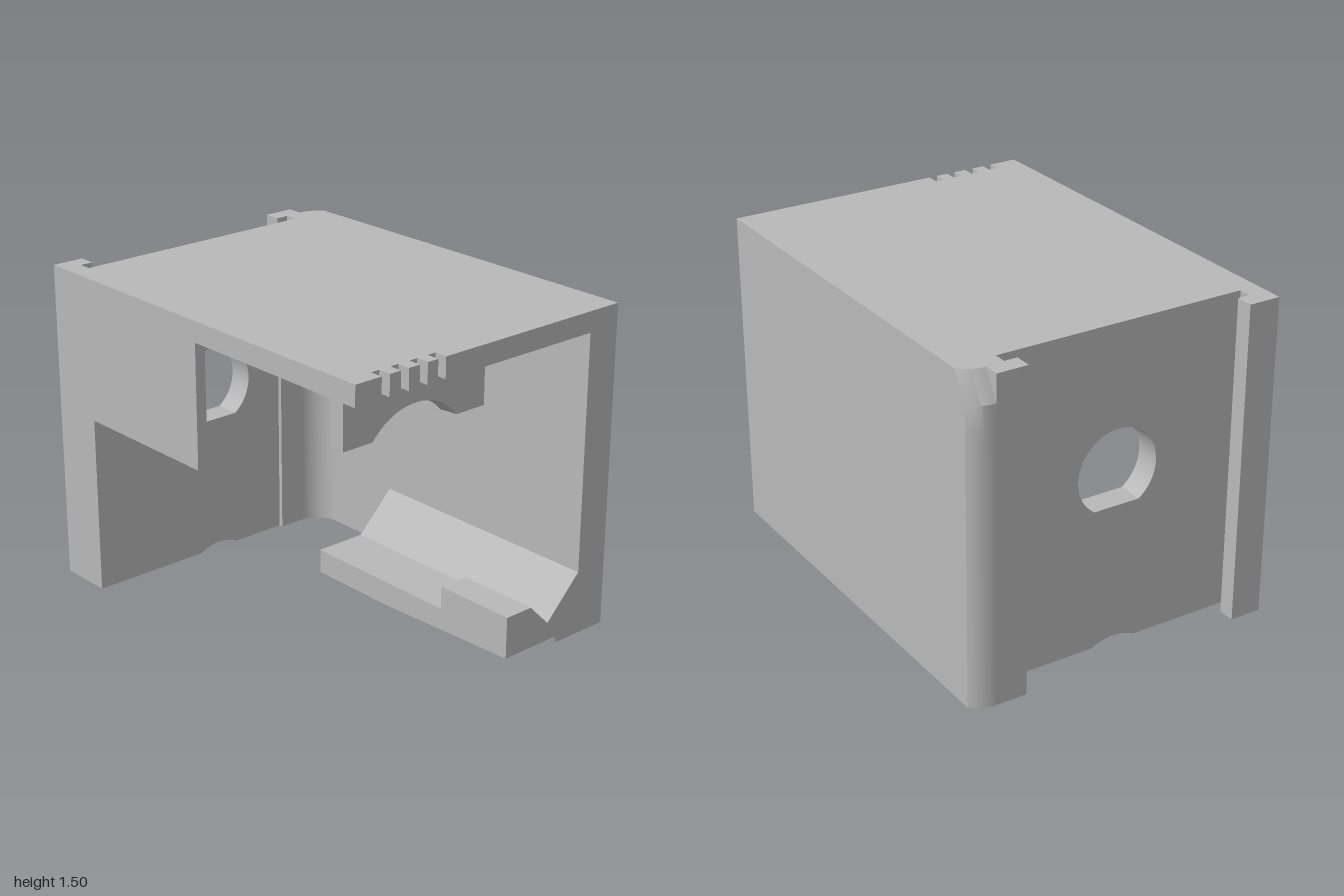
import * as THREE from 'three';
import { toCreasedNormals } from 'three/addons/utils/BufferGeometryUtils.js';

const CX = -0.05, CY = 0.83; // axis of the round opening

export function createModel() {
  const group = new THREE.Group();
  const grey = new THREE.MeshStandardMaterial({ color: 0xb8b8b8 });
  grey.name = 'plain grey';

  const add = (name, geometry) => {
    const mesh = new THREE.Mesh(toCreasedNormals(geometry, 0.5), grey);
    mesh.name = name;
    group.add(mesh);
  };
  const shapeOf = (pts) => new THREE.Shape(pts.map(([x, y]) => new THREE.Vector2(x, y)));
  const extrude = (shape, depth, steps = 1) =>
    new THREE.ExtrudeGeometry(shape, { depth, steps, bevelEnabled: false, curveSegments: 40 });
  // outline in x,y pushed along z
  const frontCut = (shape, z0, z1) => extrude(shape, z1 - z0).translate(0, 0, z0);
  // outline in x,z pushed along y
  const planCut = (pts, y0, y1, steps) =>
    extrude(shapeOf(pts.map(([x, z]) => [x, -z])), y1 - y0, steps).rotateX(-Math.PI / 2).translate(0, y0, 0);
  const box = (x0, x1, y0, y1, z0, z1) =>
    new THREE.BoxGeometry(x1 - x0, y1 - y0, z1 - z0).translate((x0 + x1) / 2, (y0 + y1) / 2, (z0 + z1) / 2);
  const bend = (geometry, rule) => {
    const p = geometry.attributes.position, v = new THREE.Vector3();
    for (let i = 0; i < p.count; i++) {
      rule(v.fromBufferAttribute(p, i));
      p.setXYZ(i, v.x, v.y, v.z);
    }
    return geometry;
  };

  // top plate with four slots in the front edge
  const top = [[0.74, -0.86], [-0.74, -0.86], [-0.74, 1]];
  for (const x of [-0.605, -0.505, -0.405, -0.307]) {
    top.push([x, 1], [x, 0.94], [x + 0.042, 0.94], [x + 0.042, 1]);
  }
  top.push([0.74, 1]);
  add('topPlate', planCut(top, 1.405, 1.5));

  // back plate with teardrop hole and shallow arch at the bottom edge
  const back = shapeOf([[0.74, 0], [0.74, 1.5], [-0.74, 1.5], [-0.74, 0], [-0.16, 0]]);
  back.quadraticCurveTo(CX, 0.056, 0.06, 0);
  const hole = new THREE.Path();
  const spread = 0.61;
  hole.moveTo(CX, 0.585);
  hole.absarc(CX, 0.827, 0.197, -Math.PI / 2 + spread, Math.PI * 1.5 - spread, false);
  hole.closePath();
  back.holes.push(hole);
  add('backPlate', frontCut(back, -0.86, -0.74));

  // hooked rails on the back
  add('rightRail', planCut([[-0.74, -0.86], [-0.74, -1], [-0.59, -1], [-0.59, -0.92], [-0.65, -0.92], [-0.65, -0.86]], 0, 1.5));
  add('leftRail', planCut([[0.63, -0.86], [0.63, -1], [0.485, -1], [0.485, -0.92], [0.545, -0.92], [0.545, -0.86]], 0, 1.5));

  // side wall and its rounded rear corner, leaning forward at the top
  add('sideWall', box(0.575, 0.74, 0, 1.5, -0.86, 1));
  const arc = new THREE.QuadraticBezierCurve(
    new THREE.Vector2(0.63, -1), new THREE.Vector2(0.7, -1), new THREE.Vector2(0.74, -0.95)
  ).getPoints(10).map((p) => [p.x, p.y]);
  const corner = planCut([[0.63, -0.86], ...arc, [0.74, -0.86]], 0, 1.5, 12);
  add('rearCorner', bend(corner, (v) => {
    if (v.z < -0.9) v.z += Math.max(0, (v.y - 1.375) / 0.125) * 0.075;
  }));

  // inner fillet between back plate and side wall
  const fillet = [[0.33, -0.75], [0.33, -0.72], [0.45, -0.72]];
  for (let i = 1; i <= 10; i++) {
    const a = (i / 10) * Math.PI / 2;
    fillet.push([0.45 + 0.125 * Math.sin(a), -0.595 - 0.125 * Math.cos(a)]);
  }
  fillet.push([0.6, -0.595], [0.6, -0.75]);
  add('innerFillet', planCut(fillet, 0, 1.41));

  // side lip below the top plate
  add('sideLip', box(-0.74, -0.69, 0.835, 1.41, -0.75, 0.016));

  // hanging tab with a slightly conical arch
  const half = Math.acos((1.025 - CY) / 0.31);
  const tab = shapeOf([[0.355, 1.025], [0.355, 1.41], [-0.455, 1.41], [-0.455, 1.025]]);
  tab.absarc(CX, CY, 0.31, Math.PI / 2 + half, Math.PI / 2 - half, true);
  add('hangingTab', bend(frontCut(tab, 0.53, 0.61), (v) => {
    if (v.z < 0.57 && v.y < 1.2 && Math.abs(v.x - CX) < 0.27) {
      v.x = CX + (v.x - CX) * 0.965;
      v.y = Math.max(1.025, CY + (v.y - CY) * 0.965);
    }
  }));

  // bottom hook with V groove, raised lip at the front and relieved underside
  const base = [[0.135, 0], [0.44, 0], [0.45, 0], [0.6, 0], [0.6, 0.3], [0.575, 0.3], [0.39, 0.115]];
  const low = [...base, [0.135, 0.115]];
  const high = [...base, [0.28, 0.225], [0.135, 0.225]];
  const relief = (v) => {
    if (v.y < 0.001 && v.x < 0.445) v.y = 0.03 * Math.max(0, (v.z - 0.25) / 0.75);
  };
  for (const [name, pts, z0, z1] of [
    ['hookRear', low, -0.21, 0.25], ['hookMiddle', low, 0.25, 0.6], ['hookFront', high, 0.6, 1],
  ]) {
    add(name, bend(frontCut(shapeOf(pts), z0, z1), relief));
  }

  return group;
}
